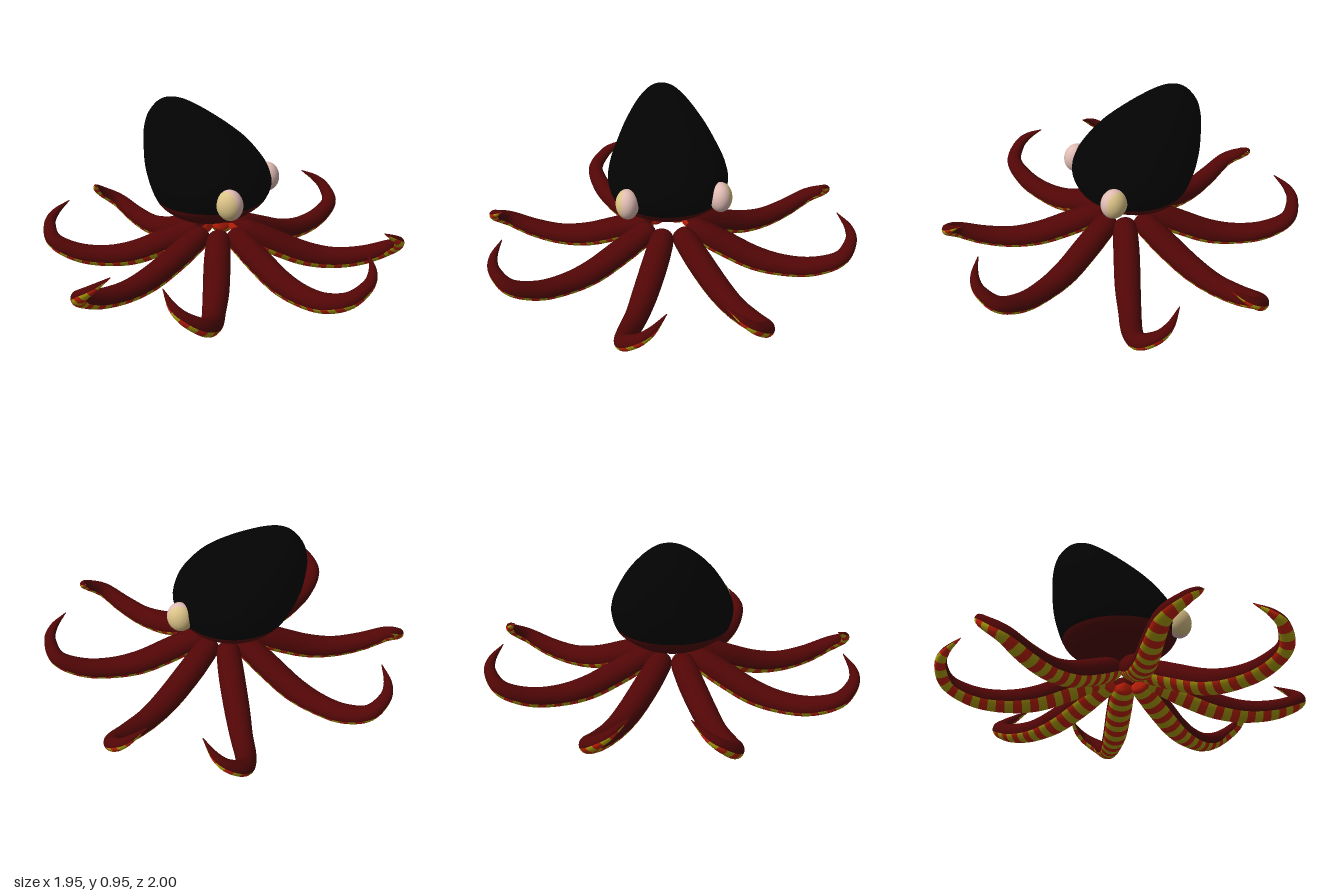
import * as THREE from 'three';

const mat = (name, color) => Object.assign(new THREE.MeshStandardMaterial({ color }), { name });

// Skin a stack of closed rings; pick(i, j) gives the material slot of each quad
function loft(rings, segs, point, pick, materials) {
  const pos = [], faces = materials.map(() => []);
  for (let i = 0; i <= rings; i++)
    for (let j = 0; j < segs; j++) pos.push(...point(i, j));
  for (let i = 0; i < rings; i++)
    for (let j = 0; j < segs; j++) {
      const k = (j + 1) % segs;
      const a = i * segs + j, b = i * segs + k, c = a + segs, d = b + segs;
      faces[pick(i, j)].push(a, b, d, a, d, c);
    }
  const geo = new THREE.BufferGeometry();
  geo.setAttribute('position', new THREE.Float32BufferAttribute(pos, 3));
  geo.setIndex(faces.flat());
  let start = 0;
  faces.forEach((f, m) => { geo.addGroup(start, f.length, m); start += f.length; });
  geo.computeVertexNormals();
  return new THREE.Mesh(geo, materials);
}

// Head slices: y, min x, max x, half depth
const HEAD = [
  [0.295, -0.06, -0.06, 0], [0.305, -0.18, 0.055, 0.12], [0.333, -0.255, 0.14, 0.205],
  [0.385, -0.32, 0.215, 0.285], [0.43, -0.355, 0.255, 0.315], [0.5, -0.387, 0.28, 0.33],
  [0.56, -0.41, 0.271, 0.322], [0.624, -0.427, 0.243, 0.298], [0.717, -0.439, 0.168, 0.25],
  [0.78, -0.44, 0.09, 0.21], [0.85, -0.425, -0.025, 0.157], [0.91, -0.385, -0.145, 0.1],
  [0.94, -0.345, -0.225, 0.054], [0.952, -0.3, -0.3, 0],
];
const HEAD_SPLIT = 4; // slice where the dark upper colour begins

// Arm stations: outward, sideways, height, radius
const ARM = [
  [0.09, 0.038, 0.238, 0], [0.102, 0.043, 0.233, 0.045], [0.135, 0.057, 0.221, 0.063],
  [0.2, 0.083, 0.193, 0.069], [0.3, 0.125, 0.145, 0.071], [0.45, 0.19, 0.083, 0.068],
  [0.6, 0.25, 0.06, 0.06], [0.75, 0.31, 0.077, 0.054], [0.89, 0.34, 0.135, 0.044],
  [0.965, 0.28, 0.2, 0.033], [0.968, 0.215, 0.25, 0.022], [0.92, 0.14, 0.305, 0.002],
];

function makeHead(materials) {
  const step = 4, segs = 48, rings = (HEAD.length - 1) * step;
  const spline = (pts) => new THREE.CatmullRomCurve3(pts, false, 'catmullrom', 0.5);
  const low = spline(HEAD.map(([y, a, b]) => new THREE.Vector3(a, y, b)));
  const depth = spline(HEAD.map(([, , , d]) => new THREE.Vector3(d, 0, 0)));
  return loft(rings, segs, (i, j) => {
    const p = low.getPoint(i / rings), a = (j / segs) * Math.PI * 2;
    return [(p.x + p.z) / 2 + (p.z - p.x) / 2 * Math.cos(a), p.y,
      -Math.max(0, depth.getPoint(i / rings).x) * Math.sin(a)];
  }, (i) => (i < HEAD_SPLIT * step ? 0 : 1), materials);
}

// place(u, v, y) maps outward / sideways / height to model space
function makeArm(place, materials) {
  const bands = 29, rings = bands * 3, segs = 20;
  const spline = (pts) => new THREE.CatmullRomCurve3(pts, false, 'catmullrom', 0.5);
  const path = spline(ARM.map(([u, v, y]) => place(u, v, y)));
  const radius = spline(ARM.map(([, , , r]) => new THREE.Vector3(r, 0, 0)));
  const outward = place(1, 0, 0);
  const frames = [];
  for (let i = 0; i <= rings; i++) {
    const t = path.getUtoTmapping(i / rings);
    const T = path.getTangent(t);
    // The back of the arm leans inward as the end curls up
    const N = new THREE.Vector3(0, 1, 0)
      .addScaledVector(outward, -0.35 * THREE.MathUtils.smoothstep(i / rings, 0.65, 0.9));
    N.addScaledVector(T, -N.dot(T)).normalize();
    const B = new THREE.Vector3().crossVectors(N, T);
    frames.push({ c: path.getPoint(t), N, B, r: Math.max(0, radius.getPoint(t).x) });
  }
  return loft(rings, segs, (i, j) => {
    const { c, N, B, r } = frames[i], a = (j / segs) * Math.PI * 2;
    return c.clone().addScaledVector(B, r * Math.cos(a)).addScaledVector(N, r * Math.sin(a)).toArray();
  }, (i, j) => {
    const under = j >= 11 && j < 19; // faces around the underside
    return under ? 1 + (Math.floor(i / 3) % 2) : 0;
  }, materials);
}

export function createModel() {
  const black = mat('mantleBlack', 0x030303);
  const maroon = mat('darkRedSkin', 0x520606);
  const red = mat('undersideRed', 0xc82208);
  const yellow = mat('undersideYellow', 0xb4a40c);
  const tan = mat('eyeTan', 0xdcc488);
  const pink = mat('eyePink', 0xe0bcb4);
  const model = new THREE.Group();
  model.name = 'octopus';

  const head = makeHead([maroon, black]);
  head.name = 'head';
  model.add(head);

  // Eyes: a tan cap facing sideways on a pink ball, one on each flank
  const capAngle = 1.22;
  for (const s of [1, -1]) {
    const eye = new THREE.Group();
    eye.name = s > 0 ? 'eyeNear' : 'eyeFar';
    [[tan, 0, capAngle, 'eyeCap'], [pink, capAngle, Math.PI - capAngle, 'eyeBall']]
      .forEach(([m, from, span, name]) => {
        const geo = new THREE.SphereGeometry(1, 28, 14, 0, Math.PI * 2, from, span);
        const part = new THREE.Mesh(geo.rotateX(s * Math.PI / 2).rotateY(-0.25 * s), m);
        part.name = name;
        eye.add(part);
      });
    eye.scale.set(0.072, 0.084, 0.062);
    eye.position.set(0.175, 0.487, 0.25 * s);
    model.add(eye);
  }

  // Eight arms: in each quadrant one reaches along x and one along z
  const skin = [maroon, red, yellow];
  for (const sx of [1, -1])
    for (const sz of [1, -1]) {
      const side = makeArm((u, v, y) => new THREE.Vector3(sx * u * 0.97, y, sz * v * 1.03), skin);
      const end = makeArm((u, v, y) => new THREE.Vector3(sx * v, y, sz * u), skin);
      side.name = 'sideArm';
      end.name = sz > 0 ? 'frontArm' : 'backArm';
      model.add(side, end);
    }
  return model;
}
